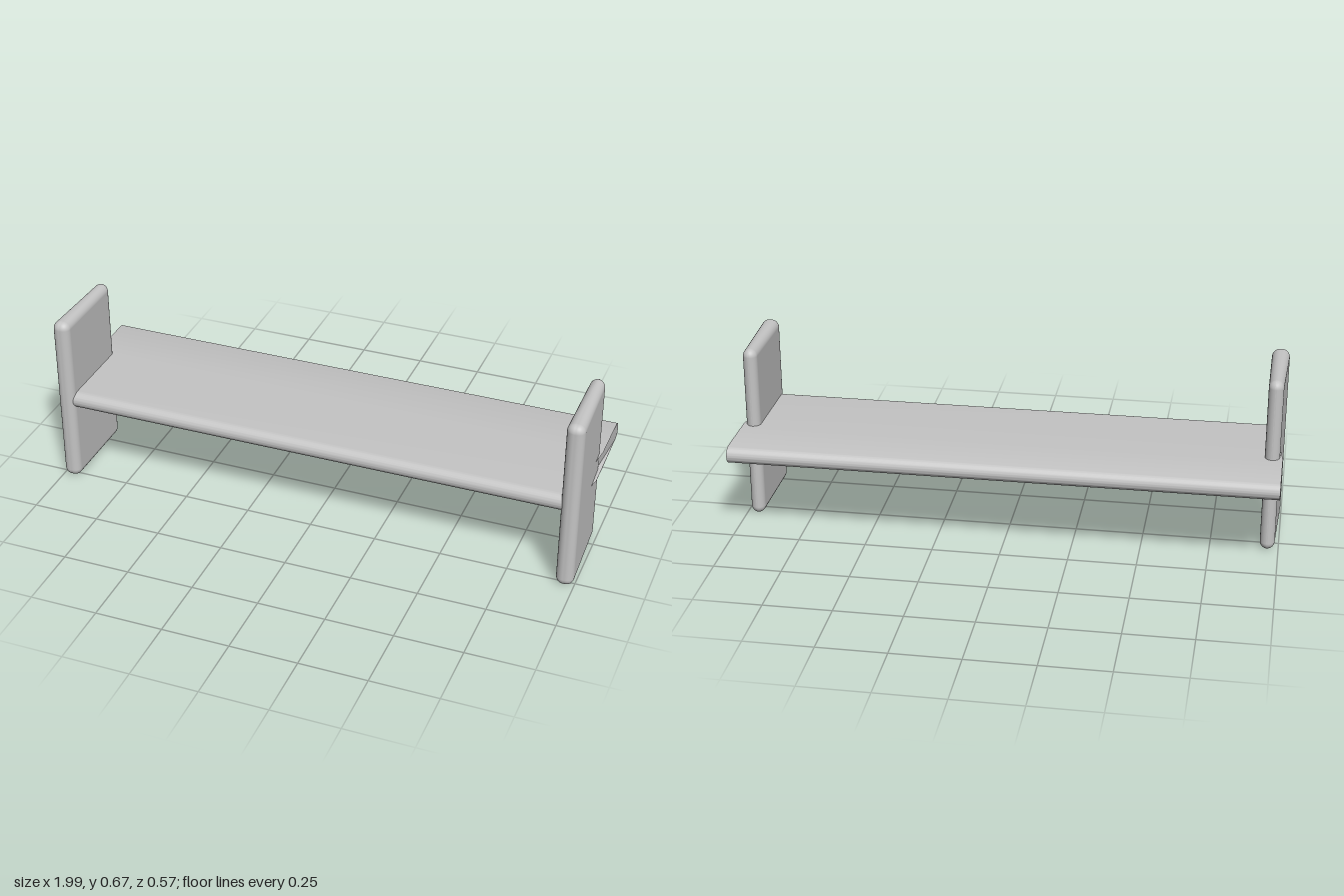
import * as THREE from 'three';
import { toCreasedNormals } from 'three/addons/utils/BufferGeometryUtils.js';
import { RoundedBoxGeometry } from 'three/addons/geometries/RoundedBoxGeometry.js';

export function createModel() {
  const bench = new THREE.Group();
  bench.name = 'bench';
  const grey = new THREE.MeshStandardMaterial({ color: 0xc4c4c4 });
  grey.name = 'light grey';

  const add = (name, geometry) => {
    const mesh = new THREE.Mesh(geometry, grey);
    mesh.name = name;
    bench.add(mesh);
    return mesh;
  };

  // End panels: rounded upright slabs whose outer faces lean in slightly toward the back
  const height = 0.665, zBack = -0.07, zFront = 0.283, thick = 0.066;
  for (const side of [1, -1]) {
    const panel = new RoundedBoxGeometry(thick, height, zFront - zBack, 5, 0.029);
    panel.translate(side * 0.965, height / 2, (zFront + zBack) / 2);
    const p = panel.attributes.position;
    for (let i = 0; i < p.count; i++) {
      const x = p.getX(i);
      if (Math.abs(x) > 0.965) {
        const back = (zFront - p.getZ(i)) / (zFront - zBack);
        p.setX(i, x - side * 0.013 * back);
      }
    }
    add(side > 0 ? 'leftEndPanel' : 'rightEndPanel', panel);
  }

  // Seat: profile with rounded front and back edges, slightly thicker in the middle (shape x is -z)
  const profile = new THREE.Shape();
  profile.moveTo(-0.24, 0.301);
  profile.lineTo(-0.03, 0.292);
  profile.lineTo(-0.02, 0.292);
  profile.lineTo(0.07, 0.292);
  profile.lineTo(0.251, 0.301);
  profile.absarc(0.251, 0.333, 0.032, -Math.PI / 2, Math.PI / 2, false);
  profile.lineTo(0.055, 0.365);
  profile.lineTo(0.03, 0.365);
  profile.lineTo(-0.24, 0.365);
  profile.absarc(-0.24, 0.333, 0.032, Math.PI / 2, Math.PI * 1.5, false);
  const seat = new THREE.ExtrudeGeometry(profile, { depth: 2, bevelEnabled: false, curveSegments: 12 });
  seat.translate(0, 0, -1);
  seat.rotateY(Math.PI / 2);

  // The front part of the seat is housed inside the panels; the back part runs past them
  const s = seat.attributes.position;
  for (let i = 0; i < s.count; i++) {
    const z = s.getZ(i);
    const limit = s.getY(i) > 0.333 ? -0.04 : 0.025;
    s.setX(i, Math.sign(s.getX(i)) * (z > limit ? 0.96 : 0.997));
  }
  add('seat', toCreasedNormals(seat, 0.5));

  // Stretcher rod under the seat
  const rod = new THREE.CylinderGeometry(0.02, 0.02, 1.9, 20);
  rod.rotateZ(Math.PI / 2);
  add('stretcher', rod).position.set(0, 0.266, -0.03);

  return bench;
}
